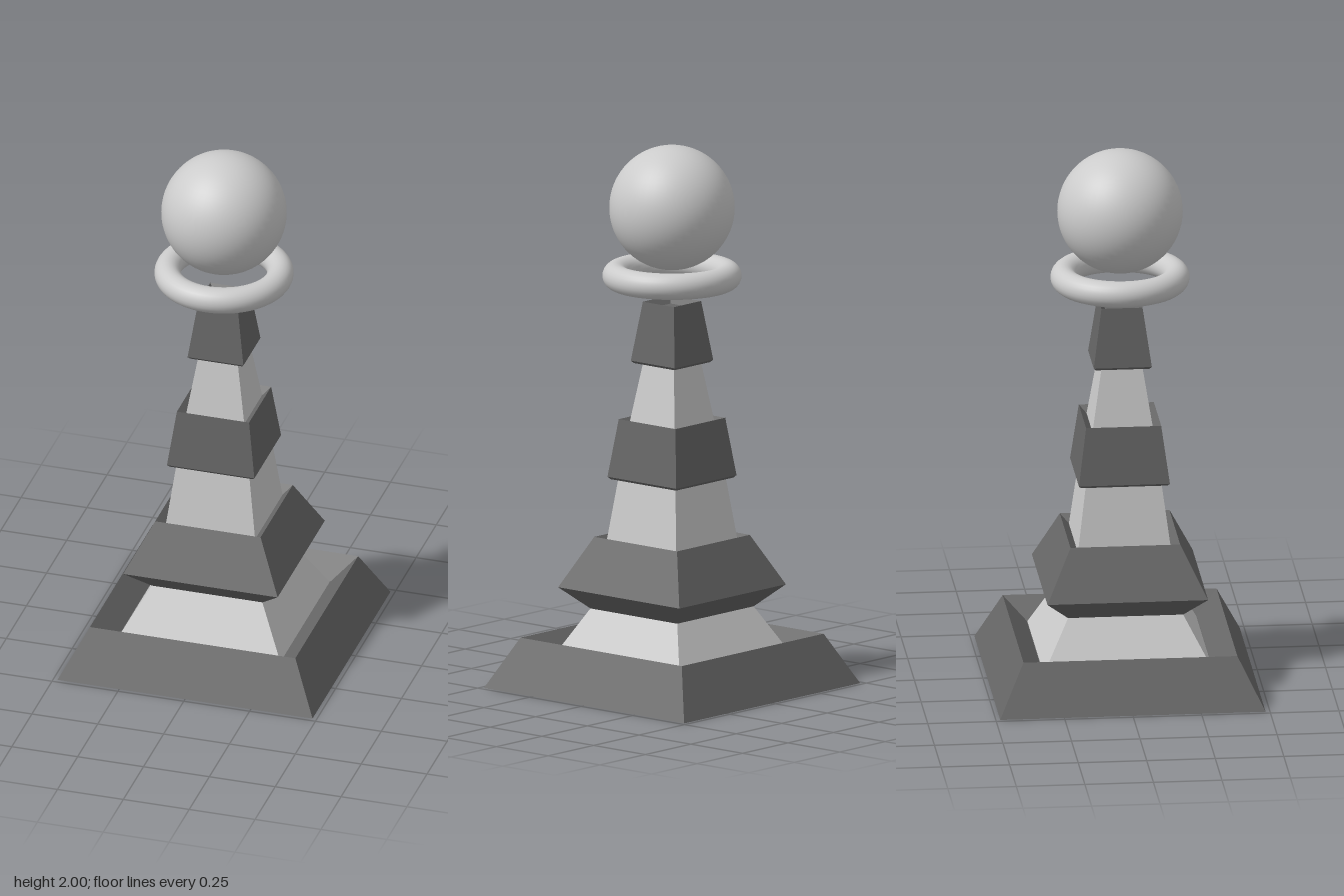
import * as THREE from 'three';

const light = new THREE.MeshStandardMaterial({ color: 0xcccccc });
const lightFlat = new THREE.MeshStandardMaterial({ color: 0xcccccc, flatShading: true });
const darkFlat = new THREE.MeshStandardMaterial({ color: 0x666666, flatShading: true });

// Square tier: a profile of [half width, height], bottom to top, swept round four sides
function squareTier(name, profile, material) {
  const points = profile.map(([half, y]) => new THREE.Vector2(half * Math.SQRT2, y));
  const mesh = new THREE.Mesh(new THREE.LatheGeometry(points, 4, Math.PI / 4), material);
  mesh.name = name;
  return mesh;
}

export function createModel() {
  const model = new THREE.Group();
  model.name = 'pawn';

  // Dark bevelled tiers with sunken tops
  const darkTiers = {
    base: [[0, 0], [0.484, 0], [0.39, 0.185], [0.31, 0.11], [0, 0.11]],
    lowerCollar: [[0, 0.29], [0.21, 0.29], [0.293, 0.37], [0.2, 0.555], [0.17, 0.525], [0, 0.525]],
    middleCollar: [[0, 0.768], [0.158, 0.768], [0.166, 0.777], [0.137, 0.99], [0.112, 0.965], [0, 0.965]],
    upperCollar: [[0, 1.197], [0.098, 1.197], [0.106, 1.206], [0.075, 1.424], [0.055, 1.4], [0, 1.4]],
  };
  for (const [name, profile] of Object.entries(darkTiers)) {
    model.add(squareTier(name, profile, darkFlat));
  }

  // Light tapered stem pieces between the dark tiers
  const stems = {
    lowerStem: [[0.308, 0.11], [0.207, 0.295]],
    middleStem: [[0.17, 0.525], [0.138, 0.77]],
    upperStem: [[0.111, 0.965], [0.074, 1.2]],
  };
  for (const [name, profile] of Object.entries(stems)) {
    model.add(squareTier(name, profile, lightFlat));
  }

  // Floating ring under the head
  const ring = new THREE.Mesh(new THREE.TorusGeometry(0.205, 0.048, 24, 64), light);
  ring.name = 'neckRing';
  ring.rotation.x = Math.PI / 2;
  ring.position.y = 1.52;
  model.add(ring);

  // Round head
  const head = new THREE.Mesh(new THREE.SphereGeometry(0.228, 48, 32), light);
  head.name = 'head';
  head.position.y = 1.772;
  model.add(head);

  return model;
}
